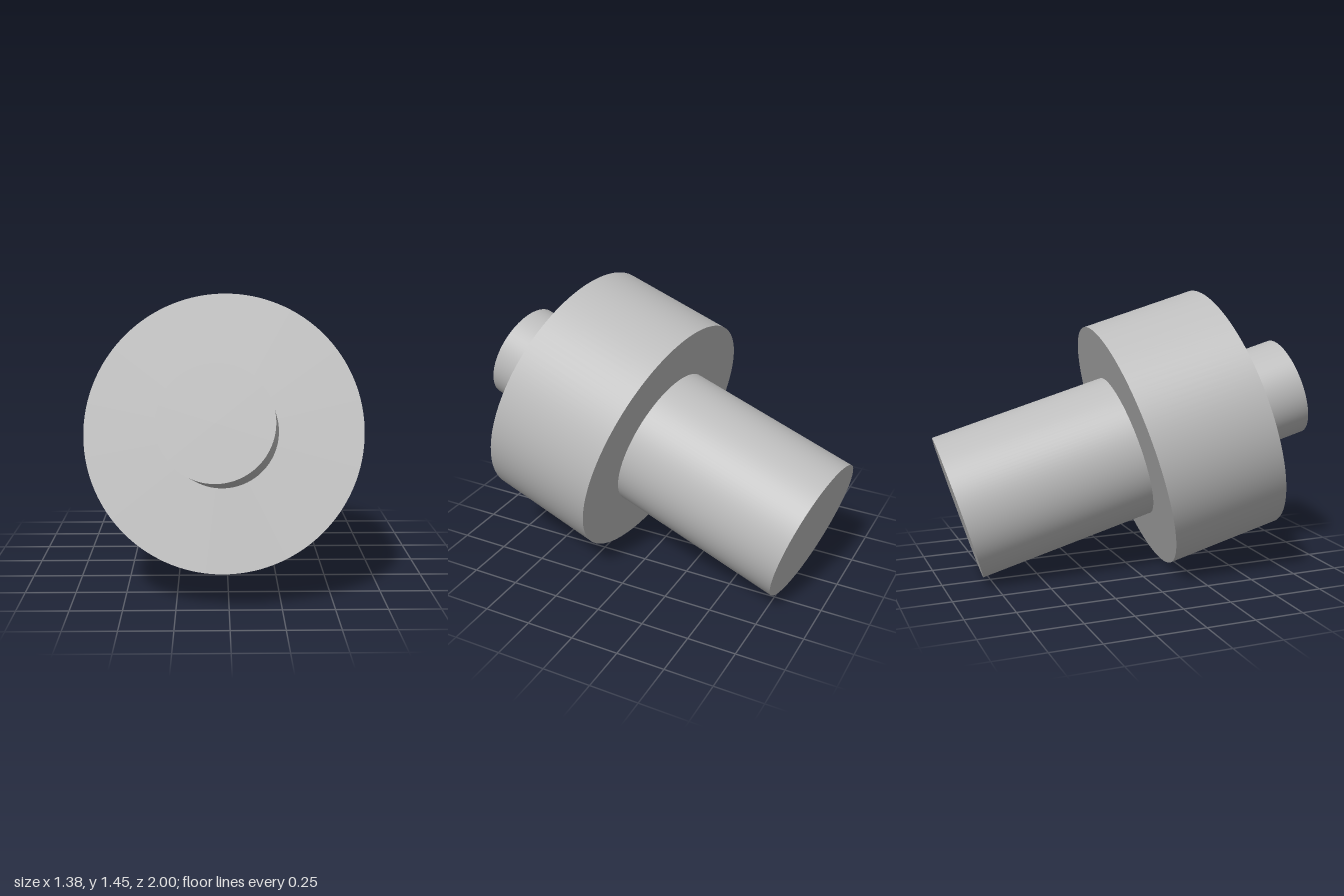
import * as THREE from 'three';

export function createModel() {
  const model = new THREE.Group();
  const grey = new THREE.MeshStandardMaterial({ color: 0xbcbcbc });
  grey.name = 'grey';

  // All parts share one tilted axis; local +y points to the front end.
  const spindle = new THREE.Group();
  spindle.name = 'spindle';
  const axis = new THREE.Vector3(-0.098, 0.295, 0.951).normalize();
  spindle.quaternion.setFromUnitVectors(new THREE.Vector3(0, 1, 0), axis);
  spindle.position.set(0, 0.725, 0.295);
  model.add(spindle);

  // Cylinder between two stations along the axis.
  const addCylinder = (name, radius, from, to) => {
    const mesh = new THREE.Mesh(new THREE.CylinderGeometry(radius, radius, to - from, 128), grey);
    mesh.name = name;
    mesh.position.y = (from + to) / 2;
    spindle.add(mesh);
  };

  addCylinder('flange', 0.664, -0.305, 0.305);
  // The inner ends are sunk slightly into the flange.
  addCylinder('frontPin', 0.266, 0.285, 0.655);
  addCylinder('rearShaft', 0.382, -1.239, -0.285);

  return model;
}
